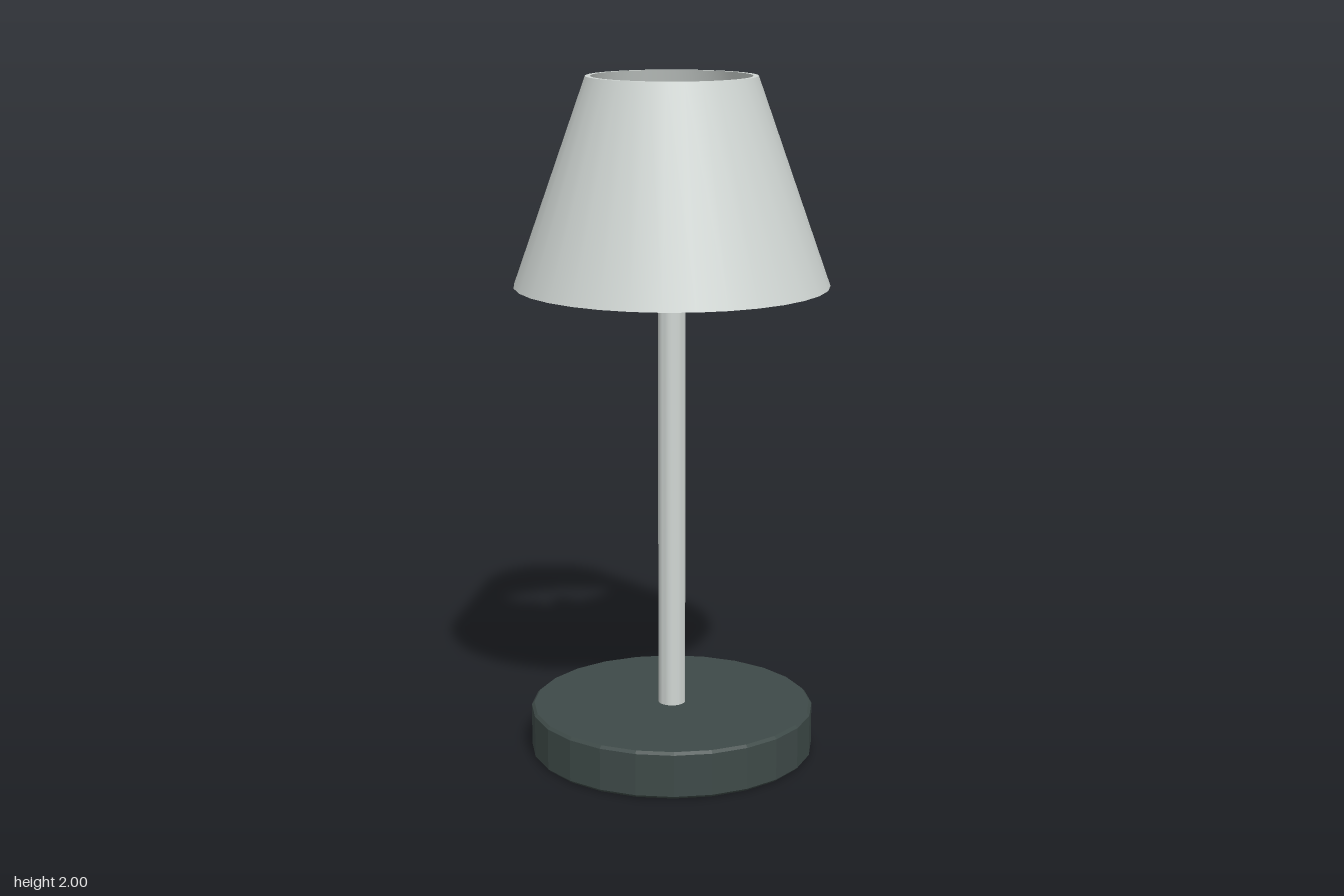
import * as THREE from 'three';
import { toCreasedNormals } from 'three/addons/utils/BufferGeometryUtils.js';

// Revolve a profile of [radius, height] pairs, keeping edges above the crease angle sharp
function turned(name, profile, sides, crease, material) {
  const points = profile.map(([r, y]) => new THREE.Vector2(r, y));
  const geometry = toCreasedNormals(new THREE.LatheGeometry(points, sides), crease);
  const mesh = new THREE.Mesh(geometry, material);
  mesh.name = name;
  return mesh;
}

export function createModel() {
  const paleGrey = new THREE.MeshStandardMaterial({ name: 'pale grey', color: 0xd0d6d3 });
  const darkSlate = new THREE.MeshStandardMaterial({ name: 'dark slate', color: 0x3e4a48 });

  const lamp = new THREE.Group();
  lamp.name = 'tableLamp';

  // Faceted round foot with a small bevel
  lamp.add(turned('base', [
    [0, 0], [0.412, 0], [0.42, 0.008], [0.42, 0.132], [0.412, 0.14], [0, 0.14],
  ], 24, 0.1, darkSlate));

  // Slim pole reaching up inside the shade
  lamp.add(turned('pole', [
    [0, 0.13], [0.04, 0.13], [0.04, 1.75], [0, 1.75],
  ], 24, 0.6, paleGrey));

  // Hollow tapered shade, open at both ends, with a thin wall
  lamp.add(turned('shade', [
    [0.44, 1.405], [0.455, 1.405], [0.245, 2], [0.23, 2], [0.44, 1.405],
  ], 32, 0.6, paleGrey));

  return lamp;
}
